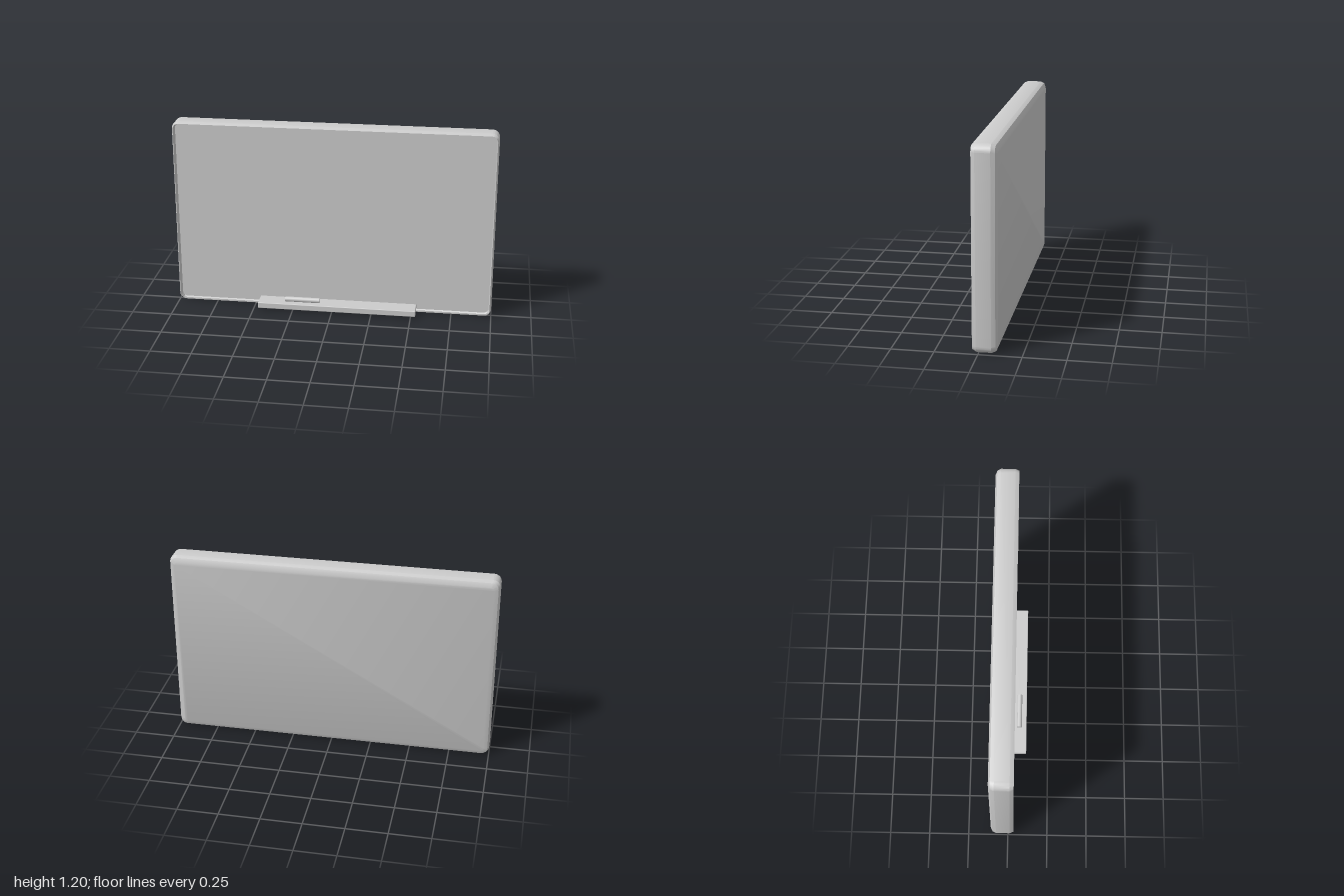
import * as THREE from 'three';
import { toCreasedNormals } from 'three/addons/utils/BufferGeometryUtils.js';
import { RoundedBoxGeometry } from 'three/addons/geometries/RoundedBoxGeometry.js';

const grey = new THREE.MeshStandardMaterial({ color: 0xcccccc });

// Rounded rectangle outline, counter-clockwise seen from the front
function outline(halfW, halfH, radius, steps = 5) {
  const points = [];
  [[1, 1], [-1, 1], [-1, -1], [1, -1]].forEach(([sx, sy], corner) => {
    for (let i = 0; i <= steps; i++) {
      const a = (corner + i / steps) * Math.PI / 2;
      points.push([
        sx * (halfW - radius) + radius * Math.cos(a),
        sy * (halfH - radius) + radius * Math.sin(a),
      ]);
    }
  });
  return points;
}

// Slab lofted through outlines, with closed ends; the bottom lip is cut back to lipZ
function slab(sections, halfW, halfH, lipZ) {
  const positions = [], index = [];
  for (const [z, inset, radius] of sections) {
    for (const [x, y] of outline(halfW - inset, halfH - inset, radius)) {
      positions.push(x, y, y < -halfH + 0.024 ? Math.min(z, lipZ) : z);
    }
  }
  const n = positions.length / 3 / sections.length;
  for (let s = 0; s < sections.length - 1; s++) {
    for (let i = 0; i < n; i++) {
      const a = s * n + i, b = s * n + (i + 1) % n;
      index.push(a, a + n, b, b, a + n, b + n);
    }
  }
  const last = (sections.length - 1) * n;
  for (let i = 1; i < n - 1; i++) {
    index.push(0, i, i + 1);
    index.push(last, last + i + 1, last + i);
  }
  const geometry = new THREE.BufferGeometry();
  geometry.setAttribute('position', new THREE.Float32BufferAttribute(positions, 3));
  geometry.setIndex(index);
  return toCreasedNormals(geometry, 0.42);
}

function add(group, name, geometry, x, y, z) {
  const mesh = new THREE.Mesh(geometry, grey);
  mesh.name = name;
  mesh.position.set(x, y, z);
  group.add(mesh);
  return mesh;
}

export function createModel() {
  const group = new THREE.Group();
  group.name = 'whiteboard';

  // Board from the recessed writing surface, over the thin lip, to the back:
  // each section is [z, inset, corner radius]
  const sections = [
    [0, 0.016, 0.03],
    [0.035, 0.01, 0.036],
    [0.012, 0, 0.045],
    [-0.075, 0, 0.045],
    [-0.098, 0.01, 0.04],
    [-0.109, 0.035, 0.02],
  ];
  add(group, 'board', slab(sections, 1, 0.6, 0.01), 0, 0.6, 0);

  // Pen tray along the lower front edge
  add(group, 'tray', new RoundedBoxGeometry(1, 0.038, 0.11, 2, 0.004), 0.03, 0.029, 0.055);

  // Marker pen lying on the tray
  const pen = new THREE.CylinderGeometry(0.016, 0.016, 0.22, 20);
  add(group, 'markerPen', pen, -0.19, 0.063, 0.063).rotation.z = Math.PI / 2;

  return group;
}
